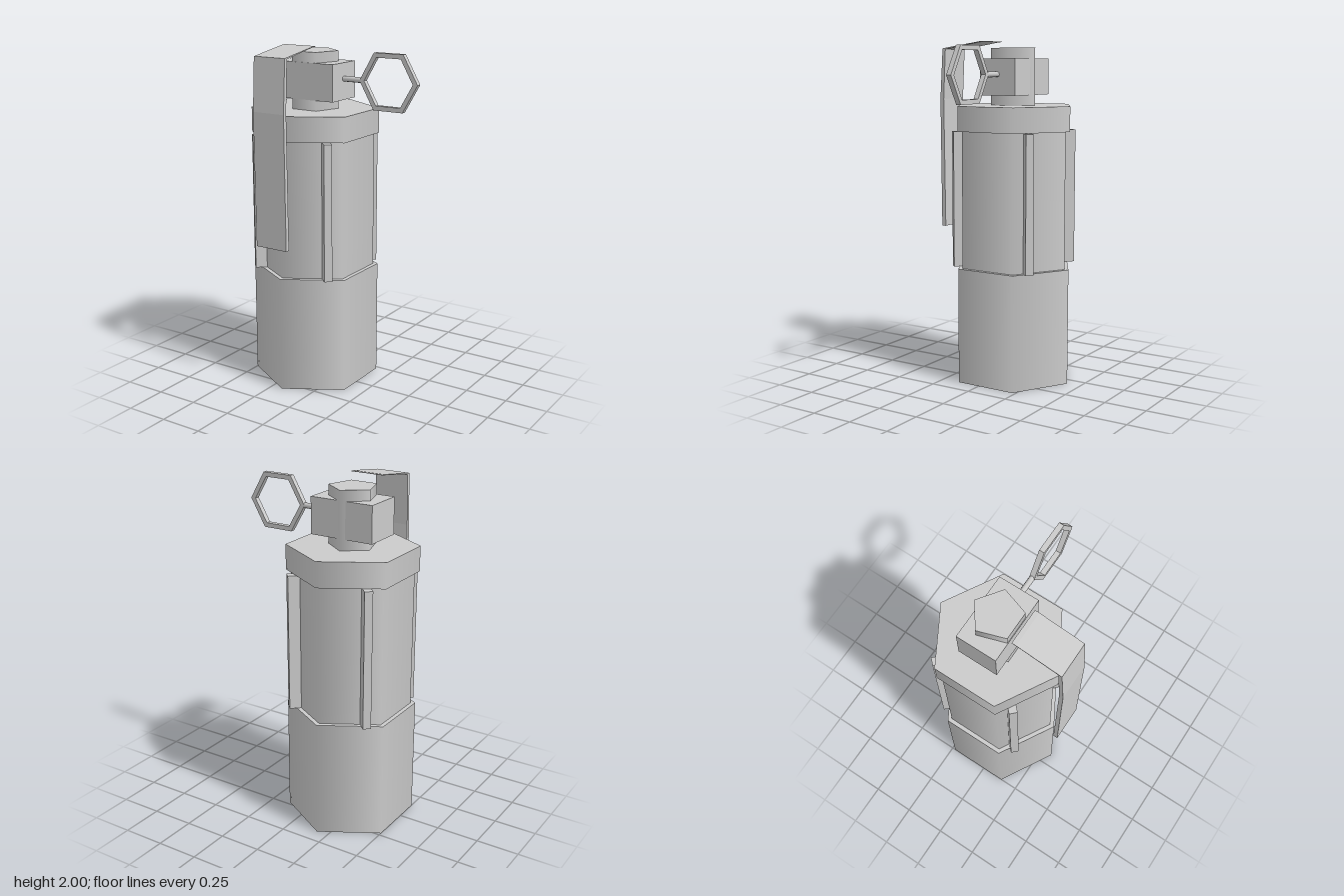
import * as THREE from 'three';

const CX = -0.18, CZ = -0.045; // vertical axis of the canister

export function createModel() {
  const model = new THREE.Group();
  const grey = new THREE.MeshStandardMaterial({ color: 0xcccccc });
  grey.name = 'light grey metal';

  const add = (name, geometry, x = 0, y = 0, z = 0) => {
    const mesh = new THREE.Mesh(geometry, grey);
    mesh.name = name;
    mesh.position.set(x, y, z);
    model.add(mesh);
    return mesh;
  };
  // Smooth-sided prism standing between two heights
  const prism = (name, radius, y0, y1, sides) =>
    add(name, new THREE.CylinderGeometry(radius, radius, y1 - y0, sides), CX, (y0 + y1) / 2, CZ);

  // Canister
  prism('lowerBody', 0.37, 0, 0.685, 6);
  prism('middleBody', 0.3425, 0.685, 1.485, 6);
  prism('topCollar', 0.37, 1.485, 1.63, 6);

  // Four diagonal ribs
  for (let i = 0; i < 4; i++) {
    const a = Math.PI / 4 + i * Math.PI / 2, r = 0.333;
    const rib = add('rib', new THREE.BoxGeometry(0.046, 0.796, 0.07),
      CX + Math.sin(a) * r, 1.084, CZ + Math.cos(a) * r);
    rib.rotation.y = a;
  }

  // Fuse head
  prism('fuseNeck', 0.138, 1.63, 1.96, 5).rotation.y = Math.PI;
  add('fuseBlock', new THREE.BoxGeometry(0.385, 0.21, 0.235), -0.1775, 1.795, -0.0475);

  // Safety lever: side profile as (z, y), extruded across its width
  const profile = new THREE.Shape([
    [0.405, 0.89], [0.412, 1.66], [0.394, 1.96], [0.13, 1.999], [0.105, 2.0],
    [0.105, 1.997], [0.13, 1.995], [0.374, 1.955], [0.388, 1.66], [0.379, 0.89],
  ].map(([z, y]) => new THREE.Vector2(z, y)));
  const lever = new THREE.ExtrudeGeometry(profile, { depth: 0.205, bevelEnabled: false });
  lever.rotateY(-Math.PI / 2);
  add('safetyLever', lever, -0.075);

  // Pin and hexagonal pull ring
  const pin = new THREE.CylinderGeometry(0.016, 0.016, 0.14, 8);
  pin.rotateZ(Math.PI / 2);
  add('pin', pin, 0.075, 1.81, -0.047);

  const hexagon = (r) => Array.from({ length: 6 }, (_, i) =>
    new THREE.Vector2(Math.cos(i * Math.PI / 3) * r, Math.sin(i * Math.PI / 3) * r));
  const ring = new THREE.Shape(hexagon(0.184));
  ring.holes.push(new THREE.Path(hexagon(0.154).reverse()));
  add('pullRing', new THREE.ExtrudeGeometry(ring, { depth: 0.03, bevelEnabled: false }),
    0.311, 1.81, -0.062);

  return model;
}
